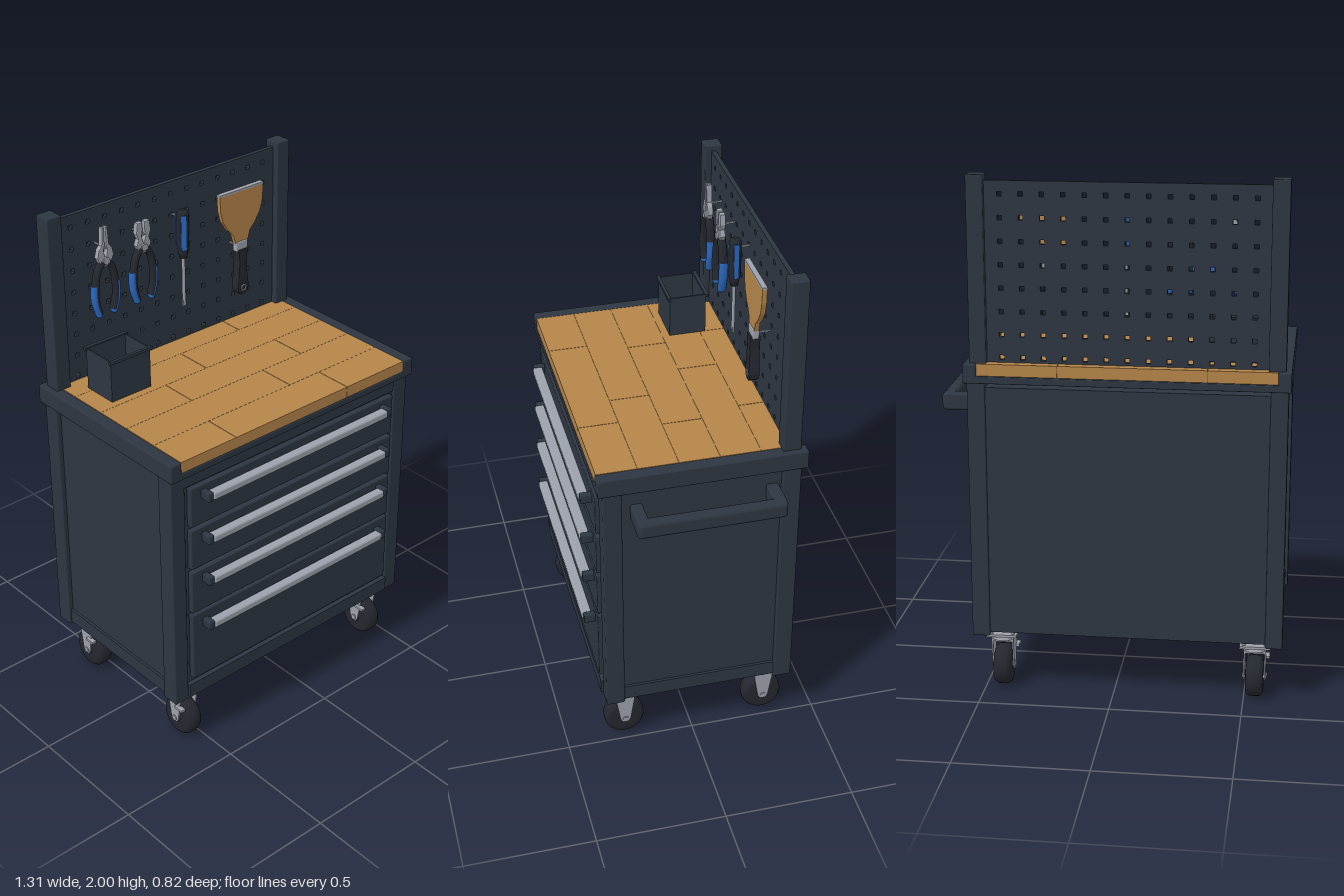
import * as THREE from 'three';
import { RoundedBoxGeometry } from 'three/addons/geometries/RoundedBoxGeometry.js';

const mat = (name, color, side = THREE.FrontSide) => {
  const m = new THREE.MeshStandardMaterial({ color, side });
  m.name = name;
  return m;
};

export function createModel() {
  const root = new THREE.Group();
  root.name = 'toolCart';
  const steel = mat('slateSteel', 0x2d3641);
  const wood = mat('wood', 0xb5854a);
  const seam = mat('woodSeam', 0x6b4c28);
  const metal = mat('brushedMetal', 0x9ba1ab);
  const rubber = mat('blackRubber', 0x23272e);
  const blue = mat('blueGrip', 0x2a68bf);

  const add = (name, geo, m, parent = root) => {
    const mesh = new THREE.Mesh(geo, m);
    mesh.name = name;
    parent.add(mesh);
    return mesh;
  };
  const group = (name, x = 0, y = 0, z = 0) => {
    const g = new THREE.Group();
    g.name = name;
    g.position.set(x, y, z);
    root.add(g);
    return g;
  };
  // Box from its limits, with optional rounded edges
  const box = (name, m, [x0, x1], [y0, y1], [z0, z1], parent = root, r = 0) => {
    const d = [x1 - x0, y1 - y0, z1 - z0];
    const geo = r ? new RoundedBoxGeometry(...d, 2, r) : new THREE.BoxGeometry(...d);
    const mesh = add(name, geo, m, parent);
    mesh.position.set((x0 + x1) / 2, (y0 + y1) / 2, (z0 + z1) / 2);
    return mesh;
  };
  const shape = pts => new THREE.Shape(pts.map(p => new THREE.Vector2(...p)));
  const slab = (s, depth, bevel = 0) => new THREE.ExtrudeGeometry(s, {
    depth: depth - 2 * bevel, bevelEnabled: bevel > 0, bevelSize: bevel, bevelThickness: bevel,
    bevelOffset: -bevel, bevelSegments: 2, curveSegments: 12,
  }).translate(0, 0, bevel - depth / 2);

  // Cabinet shell: recessed sides, corner posts and rails
  box('cabinet', steel, [-0.625, 0.52], [0.245, 1.215], [-0.383, 0.34]);
  for (const x of [[-0.645, -0.58], [0.472, 0.54]])
    for (const z of [[-0.39, -0.32], [0.28, 0.352]])
      box('cornerPost', steel, x, [0.23, 1.235], z, root, 0.006);
  for (const x of [[-0.635, -0.62], [0.515, 0.53]]) box('sideRail', steel, x, [0.24, 0.3], [-0.32, 0.28]);
  box('frontTopRail', steel, [-0.58, 0.472], [1.18, 1.235], [0.32, 0.348]);
  box('frontBottomRail', steel, [-0.58, 0.472], [0.24, 0.298], [0.33, 0.36]);

  // Drawers with full-width pulls
  for (const [y0, y1, h] of [[1.008, 1.172, 1.135], [0.823, 0.992, 0.952], [0.627, 0.807, 0.77], [0.32, 0.615, 0.568]]) {
    box('drawerFront', steel, [-0.562, 0.457], [y0, y1], [0.33, 0.362], root, 0.004);
    box('drawerPull', metal, [-0.492, 0.385], [h - 0.015, h + 0.015], [0.372, 0.41], root, 0.007);
    for (const x of [[-0.515, -0.49], [0.383, 0.41]])
      box('pullBracket', steel, x, [h - 0.018, h + 0.018], [0.36, 0.405], root, 0.005);
  }

  // Push handle on the left side
  const hy = [1.103, 1.168];
  for (const z of [[-0.31, -0.262], [0.2, 0.247]]) box('handleArm', steel, [0.515, 0.645], hy, z, root, 0.01);
  box('handleBar', steel, [0.603, 0.653], hy, [-0.309, 0.246], root, 0.015);

  // Worktop tray and staggered planks
  box('trayBase', steel, [-0.655, 0.55], [1.235, 1.262], [-0.412, 0.37], root, 0.004);
  for (const x of [[-0.655, -0.606], [0.501, 0.55]])
    box('trayRail', steel, x, [1.235, 1.308], [-0.412, 0.37], root, 0.006);
  box('worktopCore', seam, [-0.606, 0.501], [1.26, 1.304], [-0.396, 0.364]);
  const joints = [[-0.35, 0.2], [0.05], [-0.3, 0.25], [-0.1], [-0.35, 0.2]];
  joints.forEach((js, i) => {
    const z1 = 0.366 - i * 0.153, ends = [-0.607, ...js, 0.502];
    for (let k = 0; k < ends.length - 1; k++)
      box('plank', wood, [ends[k] + 0.001, ends[k + 1] - 0.001], [1.26, 1.307], [z1 - 0.1522, z1]);
  });

  // Perforated tool board between two posts
  for (const x of [[-0.634, -0.57], [0.465, 0.528]])
    box('boardPost', steel, x, [1.262, 2], [-0.388, -0.32], root, 0.005);
  const board = shape([[-0.58, 1.305], [0.475, 1.305], [0.475, 1.977], [-0.58, 1.977]]);
  for (let i = 0; i < 13; i++) for (let j = 0; j < 8; j++) {
    const x = -0.517 + i * 0.0772, y = 1.929 - j * 0.0862, r = 0.0085;
    board.holes.push(new THREE.Path([[-r, -r], [-r, r], [r, r], [r, -r]].map(([a, b]) => new THREE.Vector2(x + a, y + b))));
  }
  add('pegBoard', slab(board, 0.018), steel).position.z = -0.354;

  // Open parts bin with a folded rim
  const bin = group('partsBin');
  const bx = [-0.53, -0.347], by = [1.308, 1.475], bz = [-0.268, -0.122], t = 0.006;
  box('binFloor', steel, bx, [1.308, 1.316], bz, bin);
  for (const x of [[bx[0], bx[0] + t], [bx[1] - t, bx[1]]]) box('binSide', steel, x, by, bz, bin);
  box('binFront', steel, bx, by, [bz[1] - t, bz[1]], bin);
  box('binBack', steel, bx, by, [bz[0], bz[0] + t], bin);
  for (const z of [[-0.278, -0.264], [-0.126, -0.114]])
    box('binRim', steel, [-0.536, -0.341], [1.466, 1.478], z, bin);

  // Pliers: jaws, pivot, bowed handles with two-tone grips
  const tube = (pts, r) => new THREE.TubeGeometry(
    new THREE.CatmullRomCurve3(pts.map(([x, y]) => new THREE.Vector3(x, y, 0))), 16, r, 8).scale(1, 1, 1.4);
  const pliers = (x, jaw) => {
    const g = group('pliers', x, 0, -0.29);
    for (const s of [-1, 1]) {
      add('jaw', slab(shape(jaw.map(([a, b]) => [a * s, b])), 0.022, 0.003), metal, g);
      add('handle', tube([[0.012, 1.785], [0.032, 1.755], [0.046, 1.69], [0.045, 1.63], [0.032, 1.582]]
        .map(([a, b]) => [a * s, b]), 0.0125), rubber, g);
      add('grip', tube([[0.05, 1.7], [0.052, 1.665], [0.049, 1.625], [0.035, 1.577]]
        .map(([a, b]) => [a * s, b]), 0.0125), blue, g);
      const cap = add('gripEnd', new THREE.SphereGeometry(0.0125, 8, 6), blue, g);
      cap.position.set(0.035 * s, 1.577, 0);
      cap.scale.z = 1.4;
    }
    add('pivot', new THREE.CylinderGeometry(0.014, 0.014, 0.034, 12).rotateX(Math.PI / 2), metal, g).position.y = 1.79;
    box('hook', metal, [-0.003, 0.003], [1.837, 1.843], [-0.06, 0.012], g);
  };
  pliers(-0.413, [[0, 1.765], [0.02, 1.77], [0.037, 1.805], [0.03, 1.835], [0.017, 1.85], [0.012, 1.92], [0.003, 1.92], [0.003, 1.85], [0.009, 1.83], [0.002, 1.8]]);
  pliers(-0.236, [[0, 1.765], [0.02, 1.77], [0.034, 1.8], [0.024, 1.825], [0.034, 1.85], [0.028, 1.89], [0.006, 1.89], [0.004, 1.86], [0.01, 1.835], [0.002, 1.81]]);

  // Screwdriver, blade down, with blue inlays round the handle
  const driver = group('screwdriver', -0.042, 0, -0.29);
  const profile = [[0, 1.685], [0.016, 1.685], [0.018, 1.705], [0.024, 1.725], [0.024, 1.86], [0.019, 1.875], [0, 1.875]];
  add('driverHandle', new THREE.LatheGeometry(profile.map(p => new THREE.Vector2(...p)), 12), rubber, driver);
  add('driverShaft', new THREE.CylinderGeometry(0.007, 0.007, 0.19, 10), metal, driver).position.y = 1.59;
  box('driverTip', metal, [-0.008, 0.008], [1.48, 1.505], [-0.003, 0.003], driver);
  for (let k = 0; k < 3; k++) {
    const a = -0.5 + k * Math.PI * 2 / 3;
    const inlay = add('driverInlay', new THREE.BoxGeometry(0.02, 0.14, 0.008), blue, driver);
    inlay.position.set(Math.sin(a) * 0.0215, 1.792, Math.cos(a) * 0.0215);
    inlay.rotation.y = a;
  }
  box('hook', metal, [-0.003, 0.003], [1.84, 1.846], [-0.06, -0.01], driver);

  // Scraper: flared blade, bolster, handle with hanging hole
  const scraper = group('scraper', 0.24, 0, -0.284);
  const mirrored = half => shape([...half, ...half.slice().reverse().map(([x, y]) => [-x, y])]);
  add('scraperBlade', slab(mirrored([[0.11, 1.88], [0.107, 1.82], [0.095, 1.775], [0.07, 1.735], [0.042, 1.705], [0.03, 1.665]]), 0.018), wood, scraper);
  box('scraperEdge', metal, [-0.11, 0.11], [1.88, 1.888], [-0.01, 0.01], scraper);
  box('scraperBolster', metal, [-0.029, 0.029], [1.63, 1.672], [-0.013, 0.013], scraper, 0.005);
  const grip = mirrored([[0.024, 1.638], [0.019, 1.59], [0.022, 1.53], [0.029, 1.48], [0.024, 1.456], [0.01, 1.445]]);
  grip.holes.push(new THREE.Path().absarc(0, 1.475, 0.01, 0, Math.PI * 2, true));
  add('scraperHandle', slab(grip, 0.04, 0.005), rubber, scraper);
  for (const z of [-0.02, 0.02])
    add('hangRing', new THREE.TorusGeometry(0.011, 0.003, 6, 16), metal, scraper).position.set(0, 1.475, z);
  box('hook', metal, [-0.003, 0.003], [1.64, 1.646], [-0.066, -0.01], scraper);

  // Swivel casters
  const tyre = [[0.02, -0.034], [0.058, -0.034], [0.07, -0.031], [0.078, -0.02], [0.08, 0], [0.078, 0.02], [0.07, 0.031], [0.058, 0.034], [0.02, 0.034]];
  const fork = shape([[-0.038, 0.2], [0.038, 0.2], [0.034, 0.165], [0.02, 0.08], [0.01, 0.066], [-0.01, 0.066], [-0.02, 0.08], [-0.034, 0.165]]);
  for (const x of [-0.54, 0.435]) for (const z of [0.265, -0.3]) {
    const g = group('caster', x, 0, z);
    box('mountPlate', metal, [-0.058, 0.058], [0.211, 0.221], [-0.055, 0.055], g);
    for (const a of [-0.042, 0.042]) for (const b of [-0.038, 0.038])
      add('plateBolt', new THREE.CylinderGeometry(0.007, 0.007, 0.026, 6), metal, g).position.set(a, 0.232, b);
    add('swivelRace', new THREE.CylinderGeometry(0.044, 0.05, 0.016, 20), metal, g).position.y = 0.203;
    box('forkCrown', metal, [-0.042, 0.042], [0.186, 0.198], [-0.036, 0.036], g);
    for (const s of [-0.04, 0.04])
      add('forkLeg', slab(fork, 0.006).rotateY(Math.PI / 2), metal, g).position.x = s;
    const wheel = add('wheel', new THREE.LatheGeometry(tyre.map(p => new THREE.Vector2(...p)), 28), rubber, g);
    wheel.rotation.z = Math.PI / 2;
    wheel.position.y = 0.082;
    const axle = add('axle', new THREE.CylinderGeometry(0.012, 0.012, 0.094, 10), metal, g);
    axle.rotation.z = Math.PI / 2;
    axle.position.y = 0.082;
    box('brakeTab', metal, [-0.056, -0.036], [0.146, 0.156], [0.015, 0.058], g);
  }
  return root;
}
